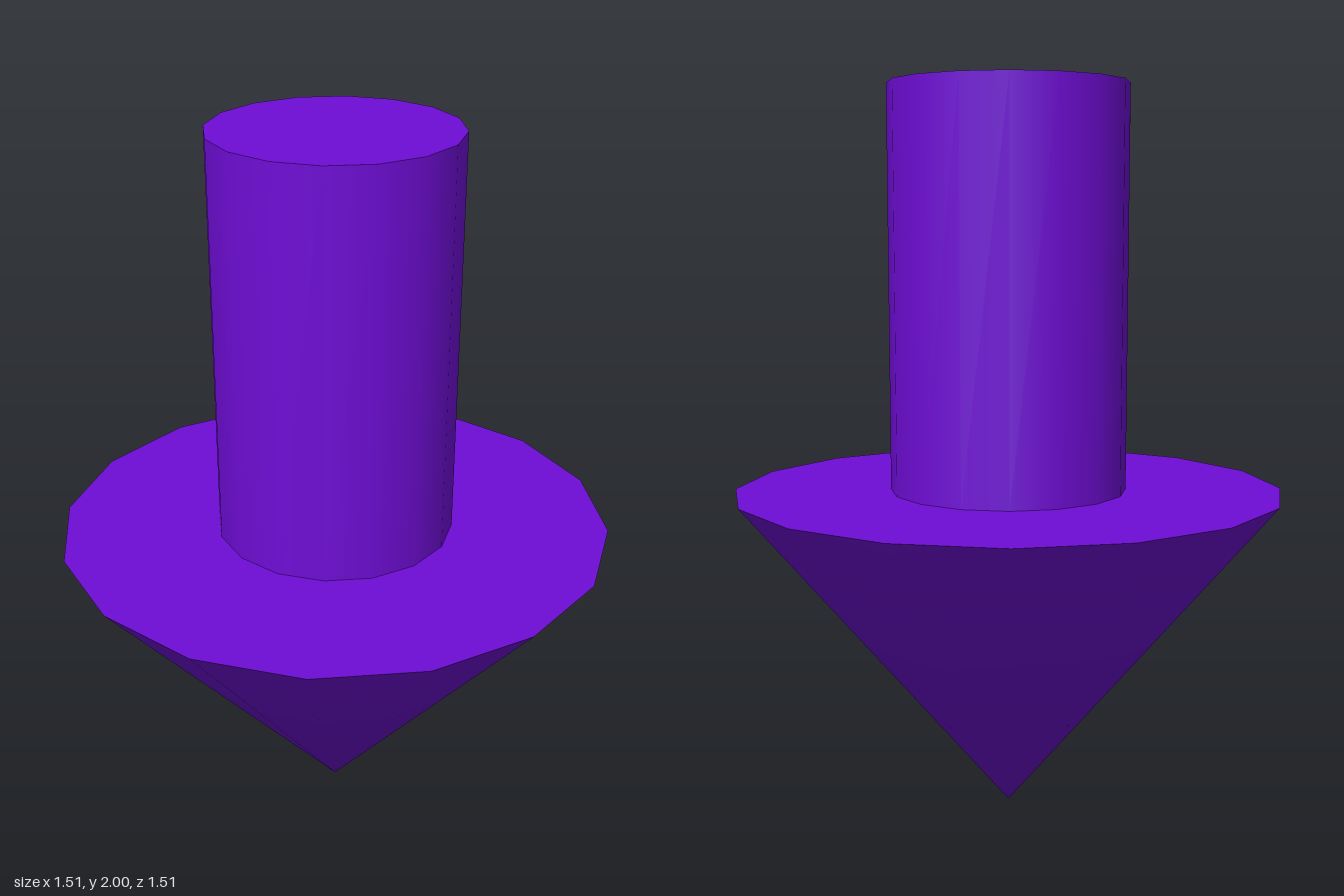
import * as THREE from 'three';

const SIDES = 16;
const HEAD_RADIUS = 0.755;
const HEAD_HEIGHT = 0.905;
const SHAFT_RADIUS = 0.325;
const TOP = 2;

export function createModel() {
  const purple = new THREE.MeshStandardMaterial({ color: 0x6f0dd6 });
  purple.name = 'purple';

  const model = new THREE.Group();
  model.name = 'downArrow';
  const add = (name, geometry, y) => {
    const mesh = new THREE.Mesh(geometry, purple);
    mesh.name = name;
    mesh.position.y = y;
    model.add(mesh);
  };

  // Arrow head: a cone pointing down, with a flat top
  const head = new THREE.CylinderGeometry(HEAD_RADIUS, 0, HEAD_HEIGHT, SIDES);
  // One shared smooth normal at the tip, pointing straight down
  const { position, normal } = head.attributes;
  for (let i = 0; i < position.count; i++) {
    if (position.getY(i) < 0) normal.setXYZ(i, 0, -1, 0);
  }
  add('arrowHead', head, HEAD_HEIGHT / 2);

  // Arrow shaft: a smooth cylinder standing on the head
  const length = TOP - HEAD_HEIGHT;
  add('arrowShaft', new THREE.CylinderGeometry(SHAFT_RADIUS, SHAFT_RADIUS, length, SIDES), HEAD_HEIGHT + length / 2);

  return model;
}
